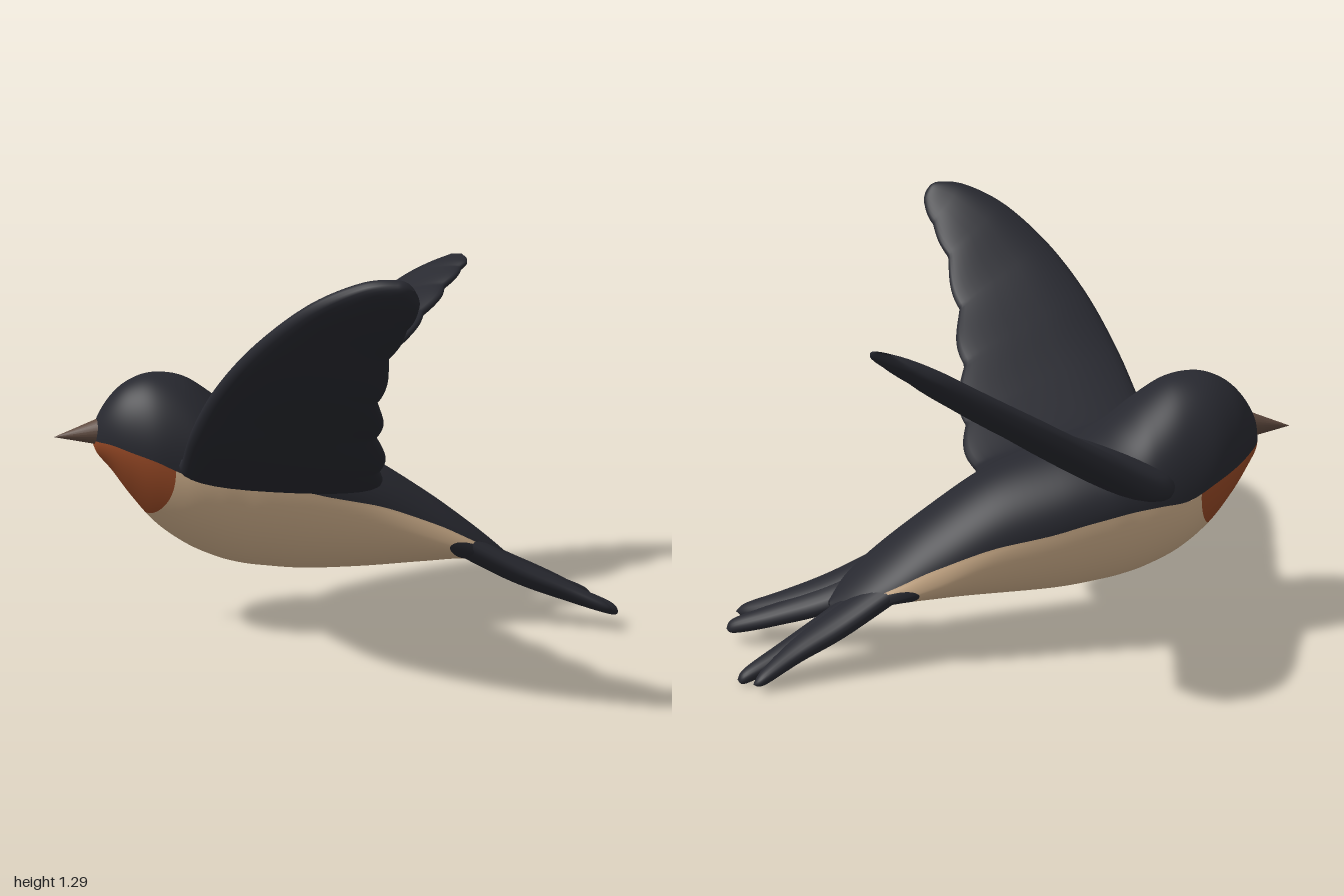
import * as THREE from 'three';
import { mergeVertices } from 'three/addons/utils/BufferGeometryUtils.js';

const paint = (name, color) => {
  const m = new THREE.MeshStandardMaterial({ color, side: THREE.DoubleSide });
  m.name = name;
  return m;
};

// Smooth interpolation through a list of cross-section rows; t counts rows
function spline(rows, t) {
  const n = rows.length - 1;
  const i = Math.min(Math.floor(t), n - 1);
  const f = t - i;
  const p = k => rows[Math.max(0, Math.min(n, k))];
  return rows[i].map((b, c) => {
    const a = p(i - 1)[c], d = p(i + 1)[c], e = p(i + 2)[c];
    return b + 0.5 * f * (d - a + f * (2 * a - 5 * b + 4 * d - e + f * (3 * (b - d) + e - a)));
  });
}

// Surface from fn(u, v), u and v in 0..1
function surface(nu, nv, fn) {
  const pos = [], index = [];
  for (let i = 0; i <= nu; i++) {
    for (let j = 0; j <= nv; j++) {
      pos.push(...fn(i / nu, j / nv));
      if (i === nu || j === nv) continue;
      const a = i * (nv + 1) + j, b = a + nv + 1;
      index.push(a, b, b + 1, a, b + 1, a + 1);
    }
  }
  const g = new THREE.BufferGeometry();
  g.setAttribute('position', new THREE.Float32BufferAttribute(pos, 3));
  g.setIndex(index);
  const merged = mergeVertices(g, 1e-5);
  merged.computeVertexNormals();
  return merged;
}

const AXIS = -0.146;  // sideways offset of the body line
const ROLL = 0.1;     // the bird banks slightly to its right

// Body sections: z, top, widest height, bottom, half width
const BODY = [
  [0.80, 0.66, 0.645, 0.63, 0.001], [0.785, 0.72, 0.64, 0.595, 0.062],
  [0.74, 0.79, 0.632, 0.54, 0.122], [0.68, 0.84, 0.61, 0.455, 0.17],
  [0.60, 0.865, 0.58, 0.36, 0.21], [0.50, 0.85, 0.535, 0.285, 0.232],
  [0.40, 0.785, 0.525, 0.237, 0.24], [0.32, 0.72, 0.515, 0.213, 0.24],
  [0.24, 0.685, 0.50, 0.20, 0.24], [0.10, 0.65, 0.465, 0.186, 0.23],
  [-0.10, 0.575, 0.395, 0.186, 0.205], [-0.30, 0.45, 0.30, 0.196, 0.185],
  [-0.45, 0.34, 0.245, 0.202, 0.16], [-0.56, 0.25, 0.205, 0.175, 0.11],
  [-0.63, 0.185, 0.17, 0.155, 0.02],
];

// Point on the body; towards the tail the colour line climbs above the widest height
function bodyPoint(t, angle) {
  const [z, top, mid, bottom, w] = spline(BODY, t);
  const a = angle + 0.38 * THREE.MathUtils.smoothstep(t, 9, 11.5) * Math.cos(angle);
  const x = Math.cos(a) * w, s = Math.sin(a);
  return [AXIS + x, mid + s * (s > 0 ? top - mid : mid - bottom) + ROLL * x, z];
}

// Patch of the body between two section limits, over half a turn from startAngle
function bodyPanel(startAngle, from, to) {
  return surface(90, 60, (u, v) => {
    const a = startAngle + v * Math.PI;
    return bodyPoint(from(a) + (to(a) - from(a)) * u, a);
  });
}

// Tail feather rows: x, y, z, half width, half thickness
const INNER = [
  [0.04, 0.285, -0.38, 0.07, 0.045], [0.072, 0.165, -0.60, 0.068, 0.042],
  [0.125, 0.085, -0.79, 0.048, 0.032], [0.165, 0.035, -0.92, 0.028, 0.022],
  [0.168, 0.022, -0.946, 0.001, 0.001],
];
const OUTER = [
  [0.075, 0.29, -0.38, 0.07, 0.045], [0.112, 0.172, -0.60, 0.074, 0.043],
  [0.158, 0.108, -0.75, 0.058, 0.034], [0.222, 0.056, -0.87, 0.032, 0.022],
  [0.243, 0.042, -0.905, 0.001, 0.001],
];

function featherGeometry(rows, side) {
  return surface(32, 20, (u, v) => {
    const [cx, y, z, w, h] = spline(rows, u * (rows.length - 1));
    const a = v * Math.PI * 2;
    const x = side * cx + 0.025 * u + Math.cos(a) * w;
    return [AXIS + x, y + Math.sin(a) * h + ROLL * x, z];
  });
}

// Wing rows from root to tip: leading edge xyz, trailing edge xyz, half thickness
const LEFT_WING = [
  [-0.42, 0.61, 0.34, 0.02, 0.55, -0.10, 0.055], [-0.33, 0.60, 0.43, 0.14, 0.51, 0.0, 0.055],
  [-0.10, 0.755, 0.695, 0.27, 0.595, 0.16, 0.052], [0.10, 0.92, 0.855, 0.38, 0.74, 0.36, 0.046],
  [0.30, 1.07, 0.955, 0.50, 0.885, 0.565, 0.04], [0.50, 1.20, 0.99, 0.615, 1.04, 0.715, 0.035],
  [0.66, 1.27, 0.97, 0.72, 1.14, 0.81, 0.03], [0.755, 1.28, 0.93, 0.778, 1.205, 0.86, 0.022],
  [0.787, 1.26, 0.905, 0.79, 1.245, 0.89, 0.002],
];
const RIGHT_WING = [
  [-0.50, 0.54, 0.08, -0.12, 0.61, 0.08, 0.055], [-0.59, 0.55, -0.02, -0.09, 0.665, 0.0, 0.055],
  [-0.595, 0.605, -0.20, -0.06, 0.76, -0.20, 0.052], [-0.56, 0.73, -0.42, -0.045, 0.89, -0.45, 0.046],
  [-0.49, 0.86, -0.62, -0.04, 1.005, -0.68, 0.04], [-0.39, 0.98, -0.79, -0.04, 1.085, -0.82, 0.034],
  [-0.28, 1.085, -0.91, -0.035, 1.14, -0.92, 0.027], [-0.20, 1.14, -0.965, -0.04, 1.165, -0.96, 0.018],
  [-0.13, 1.18, -0.995, -0.08, 1.183, -0.992, 0.002],
];

function wingGeometry(rows) {
  const n = rows.length - 1;
  const edges = t => {
    const r = spline(rows, t);
    return [new THREE.Vector3(r[0], r[1], r[2]), new THREE.Vector3(r[3], r[4], r[5]), r[6]];
  };
  const blunt = s => Math.sign(s) * Math.abs(s) ** 0.8;
  return surface(140, 32, (u, v) => {
    const t = u * n;
    const [lead, trail, thick] = edges(t);
    const [l0, t0] = edges(Math.max(0, t - 0.05));
    const [l1, t1] = edges(Math.min(n, t + 0.05));
    const span = l1.add(t1).sub(l0).sub(t0);
    const normal = span.cross(lead.clone().sub(trail)).normalize();
    // scalloped feather tips along the trailing edge
    const notch = 0.055 * (1 - Math.abs(Math.sin(Math.PI * 8 * u))) * Math.sin(Math.PI * u);
    trail.lerp(lead, notch);
    const a = v * Math.PI * 2, c = blunt(Math.cos(a));
    return lead.lerp(trail, 0.5 + 0.5 * c)
      .addScaledVector(normal, blunt(Math.sin(a)) * thick * (1 - 0.25 * c)).toArray();
  });
}

export function createModel() {
  const dark = paint('blue black plumage', 0x27282f);
  const cream = paint('cream belly', 0xd0b08c);
  const rust = paint('rust throat', 0x964825);
  const horn = paint('brown beak', 0x5f4a3f);

  const model = new THREE.Group();
  model.name = 'flyingBird';
  const add = (parent, name, geometry, material) => {
    const mesh = new THREE.Mesh(geometry, material);
    mesh.name = name;
    parent.add(mesh);
    return mesh;
  };

  // Body is built facing +z, then turned to its flight direction
  const body = new THREE.Group();
  body.name = 'body';
  body.rotation.y = -0.876;
  model.add(body);

  // The cream runs on as a thin stripe beside the dark patch under the tail
  const bibEdge = a => 4.6 - 1.0 * Math.sin(a) ** 2;
  const bellyEnd = a => 11.35 + 0.75 * Math.sin(a) ** 4 + 1.4 * Math.max(0, 1 + Math.sin(a)) ** 6;
  const end = () => BODY.length - 1;
  add(body, 'headAndBack', bodyPanel(0, () => 0, end), dark);
  add(body, 'throat', bodyPanel(Math.PI, () => 0, bibEdge), rust);
  add(body, 'belly', bodyPanel(Math.PI, bibEdge, bellyEnd), cream);
  add(body, 'underTail', bodyPanel(Math.PI, bellyEnd, end), dark);

  // Beak
  const beak = add(body, 'beak', new THREE.ConeGeometry(0.058, 0.195, 24), horn);
  beak.rotation.x = Math.PI / 2 + 0.1;
  beak.position.set(AXIS + 0.015, 0.667, 0.83);

  // Forked tail
  for (const [side, label] of [[1, 'left'], [-1, 'right']]) {
    add(body, label + 'InnerTailFeather', featherGeometry(INNER, side), dark);
    add(body, label + 'OuterTailFeather', featherGeometry(OUTER, side), dark);
  }

  // Wings
  add(model, 'leftWing', wingGeometry(LEFT_WING), dark);
  add(model, 'rightWing', wingGeometry(RIGHT_WING), dark);
  return model;
}
